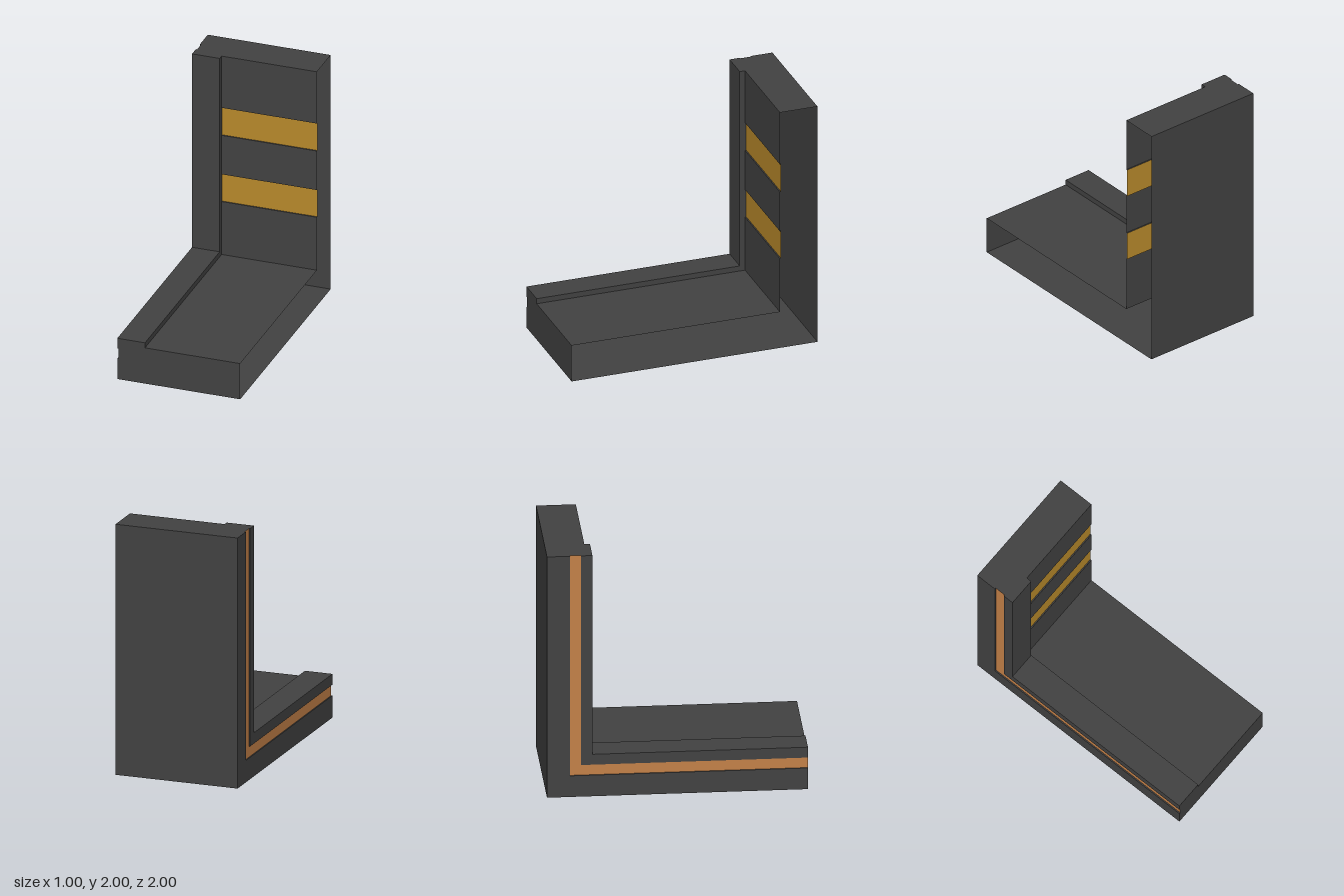
import * as THREE from 'three';

const material = (name, color) => {
  const m = new THREE.MeshStandardMaterial({ color, side: THREE.DoubleSide });
  m.name = name;
  return m;
};

// Flat-shaded mesh from a list of four-cornered faces
function quadMesh(name, mat, quads) {
  const pos = quads.flatMap(([a, b, c, d]) => [a, b, c, a, c, d].flat());
  const g = new THREE.BufferGeometry();
  g.setAttribute('position', new THREE.Float32BufferAttribute(pos, 3));
  g.computeVertexNormals();
  const mesh = new THREE.Mesh(g, mat);
  mesh.name = name;
  return mesh;
}

// Profile point [x, depth] placed along the L: front end, inner corner, top end
const atFront = ([x, d]) => [x, d, 1];
const atCorner = ([x, d]) => [x, d, d - 1];
const atHeight = ([x, d], y) => [x, y, d - 1];

const floorQuad = (a, b) => [atFront(a), atFront(b), atCorner(b), atCorner(a)];
const wallQuad = (a, b, y0, y1) => [atHeight(a, y0), atHeight(b, y0), atHeight(b, y1), atHeight(a, y1)];
const bend = (a, b) => [floorQuad(a, b), [atCorner(a), atCorner(b), atHeight(b, 2), atHeight(a, 2)]];

export function createModel() {
  const dark = material('dark grey', 0x424242);
  const gold = material('gold', 0xb8892b);
  const orange = material('orange', 0xc48148);
  const group = new THREE.Group();
  group.name = 'cornerPanel';

  // Cross-section: grooved outer side, raised kerb, recessed surface
  const profile = [[-0.5, 0], [-0.5, 0.175], [-0.49, 0.175], [-0.49, 0.262], [-0.5, 0.262],
    [-0.5, 0.348], [-0.275, 0.348], [-0.275, 0.305], [0.5, 0.305], [0.5, 0]];
  const sweep = (from, to) => {
    const quads = [];
    for (let i = from; i < to; i++) quads.push(...bend(profile[i], profile[i + 1]));
    return quads;
  };
  group.add(quadMesh('sideLower', dark, sweep(0, 2)));
  group.add(quadMesh('sideStripe', orange, sweep(2, 3)));
  group.add(quadMesh('kerb', dark, sweep(3, 7)));
  group.add(quadMesh('undersideAndBack', dark, bend(profile[9], profile[0])));

  // Floor, and wall with two shallow gold bands
  const L = profile[7], R = profile[8];
  const l = [L[0], 0.295], r = [R[0], 0.295];
  group.add(quadMesh('floor', dark, [floorQuad(L, R)]));
  const wall = [], bands = [];
  let y = L[1];
  for (const [y0, y1] of [[0.757, 0.99], [1.323, 1.558]]) {
    wall.push(wallQuad(L, R, y, y0));
    wall.push([atHeight(l, y0), atHeight(L, y0), atHeight(R, y0), atHeight(r, y0)]);
    wall.push([atHeight(L, y1), atHeight(l, y1), atHeight(r, y1), atHeight(R, y1)]);
    wall.push(wallQuad(L, l, y0, y1));
    bands.push(wallQuad(l, r, y0, y1));
    y = y1;
  }
  wall.push(wallQuad(L, R, y, 2));
  group.add(quadMesh('wall', dark, wall));
  group.add(quadMesh('wallBands', gold, bands));

  // End caps; the +x side stays open
  const cap = (name, sign) => {
    const shape = new THREE.Shape(profile.map(([x, d]) => new THREE.Vector2(x, sign * d)));
    const mesh = new THREE.Mesh(new THREE.ShapeGeometry(shape), dark);
    mesh.name = name;
    group.add(mesh);
    return mesh;
  };
  cap('frontCap', 1).position.z = 1;
  const top = cap('topCap', -1);
  top.rotation.x = -Math.PI / 2;
  top.position.set(0, 2, -1);

  return group;
}
